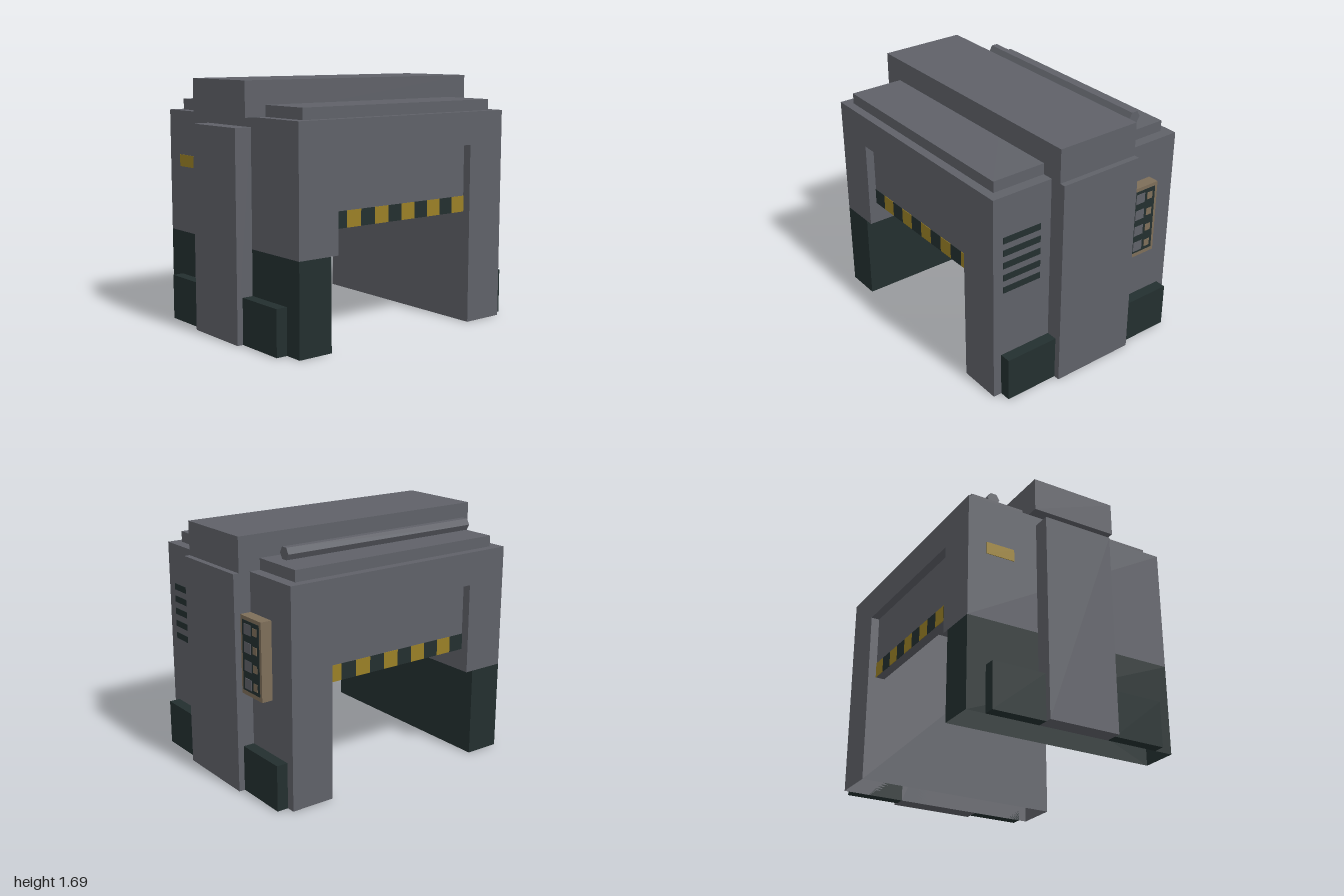
import * as THREE from 'three';

const mat = (name, color, side = THREE.FrontSide) => {
  const m = new THREE.MeshStandardMaterial({ color, side });
  m.name = name;
  return m;
};

export function createModel() {
  const root = new THREE.Group();
  root.name = 'gateMachine';
  const grey = mat('steelGrey', 0x5f6168, THREE.DoubleSide);
  const dark = mat('darkTeal', 0x232f2f, THREE.DoubleSide);
  const yellow = mat('warningYellow', 0x9a8026);
  const tan = mat('tan', 0x7d6e59);

  // Box given by its extents on each axis; openBottom drops the underside
  const box = (name, material, [x0, x1], [y0, y1], [z0, z1], openBottom = false) => {
    const geo = new THREE.BoxGeometry(x1 - x0, y1 - y0, z1 - z0);
    if (openBottom) {
      const idx = Array.from(geo.index.array);
      idx.splice(18, 6);
      geo.setIndex(idx);
      geo.clearGroups();
    }
    const mesh = new THREE.Mesh(geo, material);
    mesh.name = name;
    mesh.position.set((x0 + x1) / 2, (y0 + y1) / 2, (z0 + z1) / 2);
    root.add(mesh);
    return mesh;
  };
  const W = [-0.75, 0.75];

  // Arch: two hollow legs and the lintel between them
  box('backLeg', grey, W, [0, 1.46], [-0.88, -0.575], true);
  box('frontLegUpper', grey, W, [0.615, 1.46], [0.575, 0.88]);
  box('frontLegLower', dark, W, [0, 0.615], [0.63, 0.88], true);
  box('lintel', grey, W, [1.235, 1.46], [-0.575, 0.575]);

  // Pillars and roof
  box('frontPillar', grey, [-0.25, 0.25], [0, 1.395], [0.88, 1]);
  box('backPillar', grey, [-0.305, 0.305], [0, 1.46], [-1, -0.88]);
  box('roofSlab', grey, [-0.69, 0.69], [1.46, 1.535], [-0.805, 0.805]);
  box('roofBeam', grey, [-0.305, 0.305], [1.46, 1.69], [-0.96, 0.96]);

  // Hexagonal rod above the roof
  const rodGeo = new THREE.CylinderGeometry(0.045, 0.045, 1.5, 6).toNonIndexed();
  rodGeo.rotateY(Math.PI / 6).rotateX(Math.PI / 2);
  rodGeo.computeVertexNormals();
  const rod = new THREE.Mesh(rodGeo, grey);
  rod.name = 'roofRod';
  rod.position.set(-0.495, 1.592, 0);
  root.add(rod);

  // Base blocks and striped hanging panels, mirrored left and right
  for (const s of [-1, 1]) {
    const span = (a, b) => (s > 0 ? [a, b] : [-b, -a]);
    box('frontBaseBlock', dark, span(0.25, 0.62), [0, 0.31], [0.88, 0.958]);
    box('backBaseBlock', dark, span(0.305, 0.69), [0, 0.31], [-0.958, -0.88]);
    box('hangingPanel', grey, span(0.625, 0.69), [0.77, 1.235], [-0.575, 0.575]);
    for (let i = 0; i < 10; i++) {
      const z = 0.575 - i * 0.115;
      box('warningStripe', i % 2 ? yellow : dark, span(0.686, 0.693), [0.77, 0.88], [z - 0.115, z]);
    }
  }

  // Yellow plate on the front
  box('frontPlate', yellow, [-0.62, -0.42], [1.073, 1.155], [0.879, 0.884]);

  // Vent slots on the back
  for (let i = 0; i < 5; i++) {
    const y = 1.157 - i * 0.089;
    box('ventSlot', dark, [0.385, 0.675], [y - 0.022, y + 0.022], [-0.884, -0.879]);
  }

  // Keypad on the back: case, dark face, two columns of keys
  box('keypadCase', tan, [-0.537, -0.305], [0.68, 1.2], [-0.957, -0.88]);
  box('keypadFace', dark, [-0.515, -0.327], [0.71, 1.175], [-0.96, -0.956]);
  for (let i = 0; i < 4; i++) {
    const y = 1.12 - i * 0.12;
    box('largeKey', grey, [-0.425, -0.35], [y - 0.035, y + 0.035], [-0.963, -0.959]);
    box('smallKey', tan, [-0.492, -0.447], [y - 0.025, y + 0.025], [-0.963, -0.959]);
  }
  return root;
}
